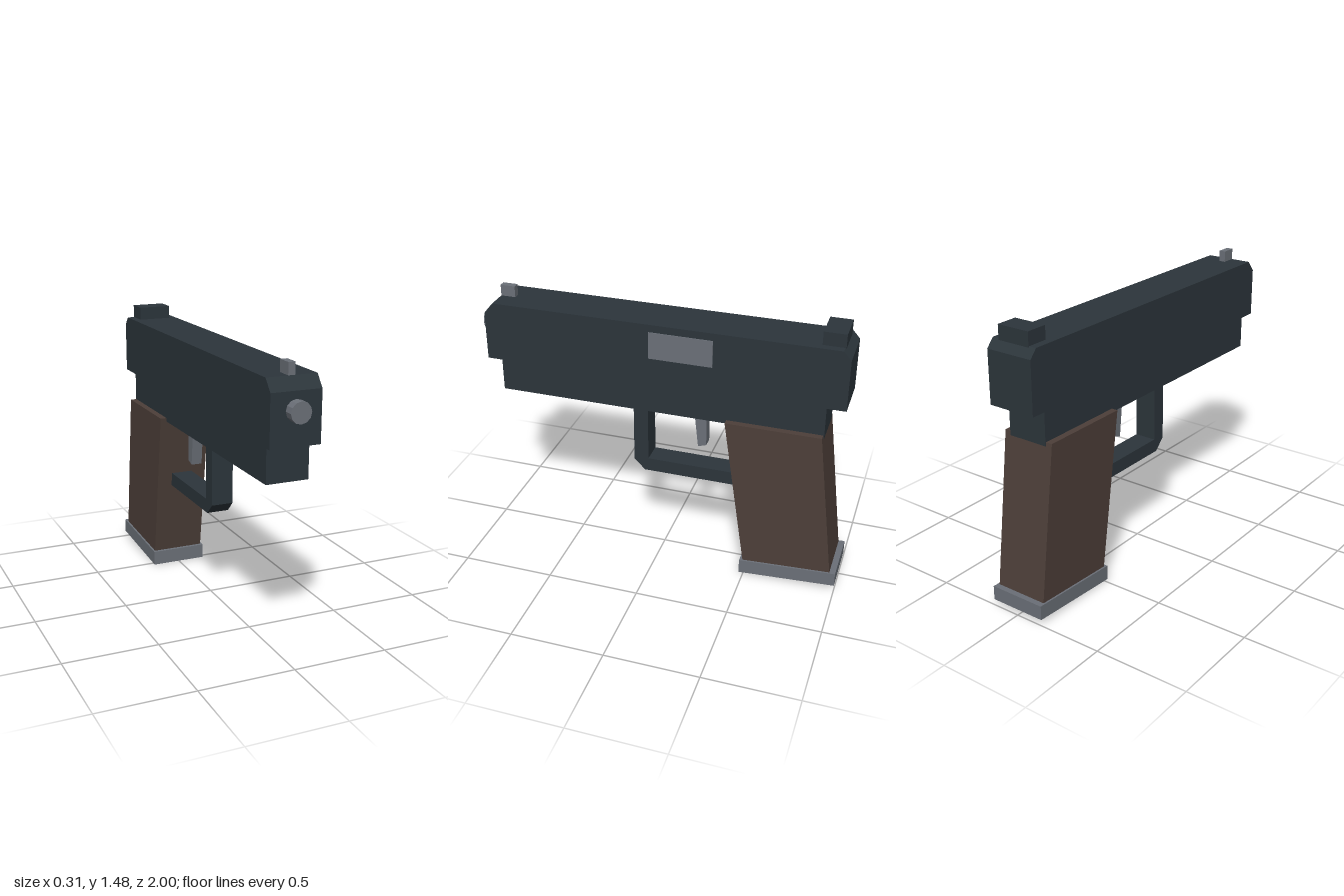
import * as THREE from 'three';

const mat = (name, color) => new THREE.MeshStandardMaterial({ name, color, flatShading: true });

export function createModel() {
  const gunmetal = mat('gunmetal', 0x2c353b);
  const brown = mat('brown grip', 0x4d3f39);
  const steel = mat('steel', 0x6b7078);
  const group = new THREE.Group();
  group.name = 'pistol';

  const add = (name, geometry, material) => {
    const mesh = new THREE.Mesh(geometry, material);
    mesh.name = name;
    group.add(mesh);
    return mesh;
  };

  // Side outline of [z, y] points, extruded across x and centred
  const profile = (name, points, width, material) => {
    const shape = new THREE.Shape(points.map(([z, y]) => new THREE.Vector2(-z, y)));
    const geometry = new THREE.ExtrudeGeometry(shape, { depth: width, bevelEnabled: false });
    geometry.translate(0, 0, -width / 2).rotateY(Math.PI / 2);
    return add(name, geometry, material);
  };

  // Box given by its x, y and z ranges
  const box = (name, [x0, x1], [y0, y1], [z0, z1], material) => {
    const geometry = new THREE.BoxGeometry(x1 - x0, y1 - y0, z1 - z0);
    geometry.translate((x0 + x1) / 2, (y0 + y1) / 2, (z0 + z1) / 2);
    return add(name, geometry, material);
  };

  // Upper body
  profile('slide', [
    [0.95, 1.085], [0.95, 1.345], [0.9, 1.405], [-0.93, 1.405], [-0.97, 1.36], [-0.97, 1.085],
  ], 0.26, gunmetal);
  box('frame', [-0.11, 0.11], [0.9, 1.085], [-0.87, 0.88], gunmetal);
  box('ejectionPort', [0.127, 0.135], [1.22, 1.365], [-0.29, 0.045], steel);

  // Barrel tip
  const barrel = new THREE.CylinderGeometry(0.053, 0.053, 0.1, 12);
  barrel.rotateX(Math.PI / 2).translate(0, 1.255, 0.95);
  add('barrel', barrel, steel);

  // Sights
  box('frontSight', [-0.018, 0.018], [1.39, 1.465], [0.82, 0.9], steel);
  box('rearSight', [-0.09, 0.09], [1.39, 1.475], [-0.935, -0.82], gunmetal);

  // Trigger and its guard
  profile('triggerGuard', [
    [0.155, 0.91], [0.155, 0.56], [0.095, 0.5], [-0.46, 0.5],
    [-0.46, 0.575], [0.075, 0.575], [0.075, 0.91],
  ], 0.12, gunmetal);
  profile('trigger', [[-0.17, 0.91], [-0.24, 0.91], [-0.24, 0.7], [-0.195, 0.685]], 0.06, steel);

  // Grip and base plate
  profile('grip', [[-0.365, 0.92], [-0.865, 0.92], [-0.97, 0.09], [-0.495, 0.06]], 0.29, brown);
  profile('basePlate', [[-0.475, 0.08], [-1, 0.11], [-1, 0.033], [-0.475, 0]], 0.31, steel);

  return group;
}
